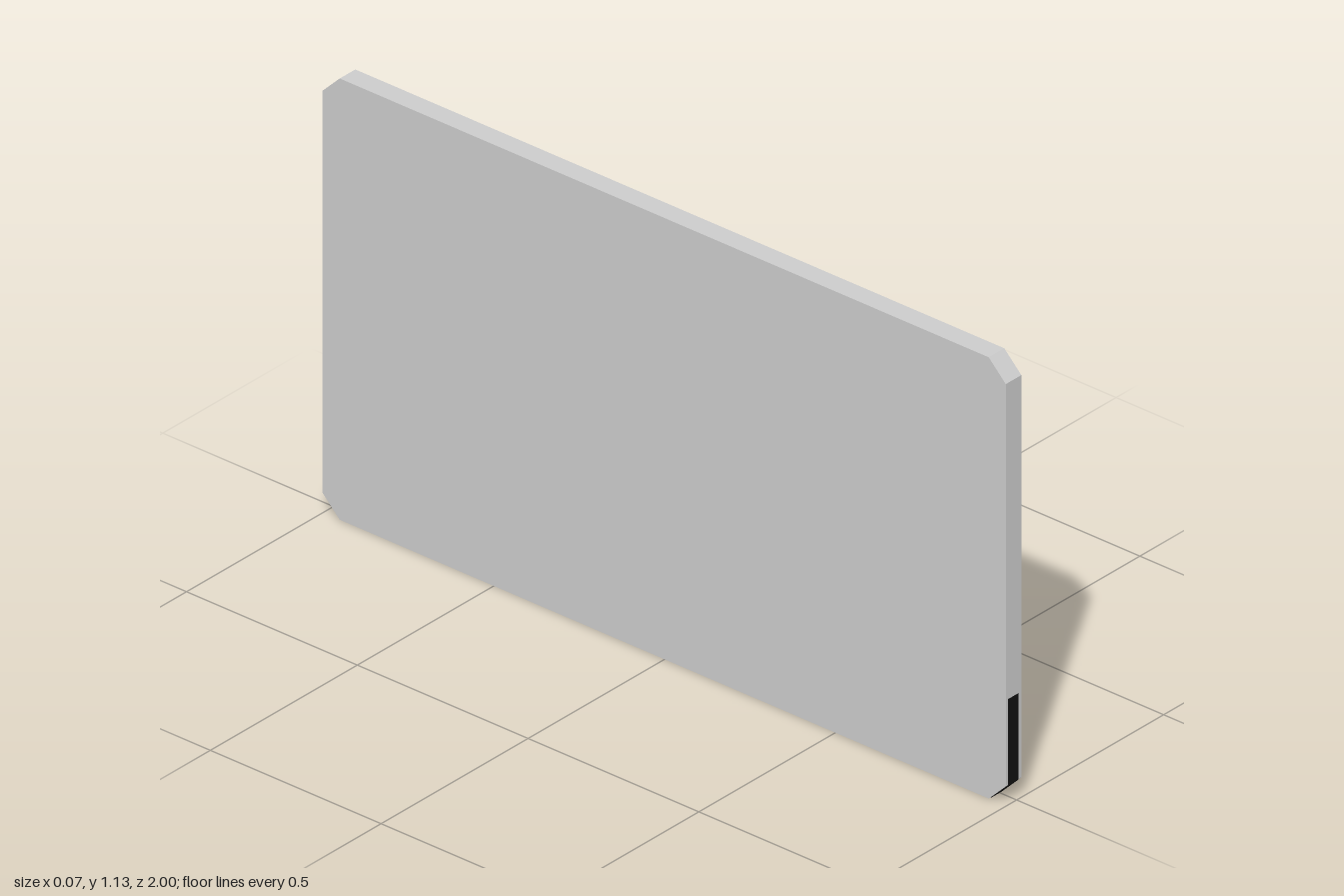
import * as THREE from 'three';

const mat = (color) => new THREE.MeshStandardMaterial({ color, flatShading: true });
const GREY = mat(0xcccccc), BLACK = mat(0x111111), DARK = mat(0x383a42);
const BAR = { O: mat(0xe88712), T: mat(0x86e8e0), G: mat(0xcfcbcd), K: BLACK };

const HALF_W = 1, HEIGHT = 1.13, CUT = 0.05;

// Rectangle with cut corners, inset evenly from the outer outline (counter-clockwise)
function octagon(inset, c = CUT) {
  const w = HALF_W - inset, b = inset, t = HEIGHT - inset;
  return [[w - c, b], [w, b + c], [w, t - c], [w - c, t], [-w + c, t], [-w, t - c], [-w, b + c], [-w + c, b]];
}

const toPoints = (pts) => pts.map(([u, y]) => new THREE.Vector2(u, y));

// Flat plate between two depths, with an optional hole
function plate(name, pts, z0, z1, material, hole) {
  const shape = new THREE.Shape(toPoints(pts));
  if (hole) shape.holes.push(new THREE.Path(toPoints(hole)));
  const geo = new THREE.ExtrudeGeometry(shape, { depth: z1 - z0, bevelEnabled: false });
  const mesh = new THREE.Mesh(geo.translate(0, 0, z0), material);
  mesh.name = name;
  return mesh;
}

// Casing: octagonal rings [depth, inset] joined from the back face round into the recess
function casingGeometry() {
  const rings = [[-0.037, 0], [0.016, 0], [0.033, 0.017], [0.033, 0.054], [0.022, 0.07], [-0.016, 0.07]]
    .map(([z, inset]) => octagon(inset).map(([u, y]) => [u, y, z]));
  const pos = [];
  for (let r = 0; r < rings.length - 1; r++) {
    for (let i = 0; i < 8; i++) {
      const j = (i + 1) % 8;
      const a = rings[r][i], b = rings[r][j], c = rings[r + 1][j], d = rings[r + 1][i];
      pos.push(...a, ...b, ...c, ...a, ...c, ...d);
    }
  }
  const back = rings[0];
  for (let i = 1; i < 7; i++) pos.push(...back[0], ...back[i + 1], ...back[i]);
  const geo = new THREE.BufferGeometry();
  geo.setAttribute('position', new THREE.Float32BufferAttribute(pos, 3));
  geo.computeVertexNormals();
  return geo;
}

// Lower panel outline; side is -1 or 1, the outer bottom corner is cut
function panelOutline(side, inner, outer, bottom, top, cut) {
  const pts = [[inner, bottom], [outer - cut, bottom], [outer, bottom + cut], [outer, top], [inner, top]];
  return pts.map(([u, y]) => [u * side, y]);
}

export function createModel() {
  const model = new THREE.Group();
  model.name = 'wallDisplay';
  // Built facing +z, then turned to face +x
  const body = new THREE.Group();
  body.name = 'displayBody';
  body.rotation.y = Math.PI / 2;
  model.add(body);

  const casing = new THREE.Mesh(casingGeometry(), GREY);
  casing.name = 'casing';
  body.add(casing);

  // Recessed screen with black gasket
  body.add(plate('screenBack', octagon(0.069), -0.03, -0.014, DARK));
  body.add(plate('gasket', octagon(0.07), -0.014, -0.006, BLACK, octagon(0.087)));

  // Coloured bars: each row lists [colour] or [colour, gapStart, gapEnd, colour]
  const leftRows = [
    ['O'], ['T'], ['K', -0.595, -0.49, 'T'], ['O'], ['T', -0.345, -0.245, 'O'], ['G'], ['T'],
    ['O', -0.43, -0.33, 'O'], ['O', -0.43, -0.33, 'T'], ['K'], ['O'],
  ];
  const rightRows = [
    ['G'], ['T', 0.325, 0.43, 'K'], ['G'], ['O', 0.57, 0.67, 'O'], ['T'], ['K'], ['O', 0.49, 0.59, 'T'],
    ['O'], ['T'], ['O', 0.245, 0.345, 'T'], ['G'],
  ];
  const bars = new THREE.Group();
  bars.name = 'screenBars';
  body.add(bars);
  const addBar = (u0, u1, y, key) => {
    const bar = new THREE.Mesh(new THREE.BoxGeometry(u1 - u0, 0.044, 0.006), BAR[key]);
    bar.position.set((u0 + u1) / 2, y, -0.012);
    bar.name = 'bar';
    bars.add(bar);
  };
  for (const [rows, start, end] of [[leftRows, -0.9, -0.018], [rightRows, 0.018, 0.9]]) {
    rows.forEach(([first, gap0, gap1, second], i) => {
      const y = 0.97 - i * 0.0642;
      addBar(start, second ? gap0 : end, y, first);
      if (second) addBar(gap1, end, y, second);
    });
  }

  // Black bed behind the lower panels shows as their dividers
  body.add(plate('panelBed', [[-0.88, 0.08], [0.88, 0.08], [0.92, 0.12], [0.92, 0.295], [-0.92, 0.295], [-0.92, 0.12]],
    -0.014, -0.009, BLACK));
  for (const side of [-1, 1]) {
    body.add(plate('lowerPanel', panelOutline(side, 0.007, 0.912, 0.088, 0.281, 0.045), -0.009, -0.005, GREY));
    body.add(plate('panelGroove', panelOutline(side, 0.026, 0.893, 0.112, 0.268, 0.035), -0.006, -0.004, BLACK,
      panelOutline(side, 0.034, 0.885, 0.12, 0.26, 0.031)));
  }

  // Black strip along the bottom edge and up both sides
  const run = (e, top) => [[-1 - e, top], [-1 - e, 0.05 - e / 2], [-0.95 - e / 2, -e], [0.95 + e / 2, -e],
    [1 + e, 0.05 - e / 2], [1 + e, top]];
  body.add(plate('edgeStrip', [...run(0.001, 0.27), ...run(-0.01, 0.27).reverse()], -0.029, 0.006, BLACK));

  return model;
}
